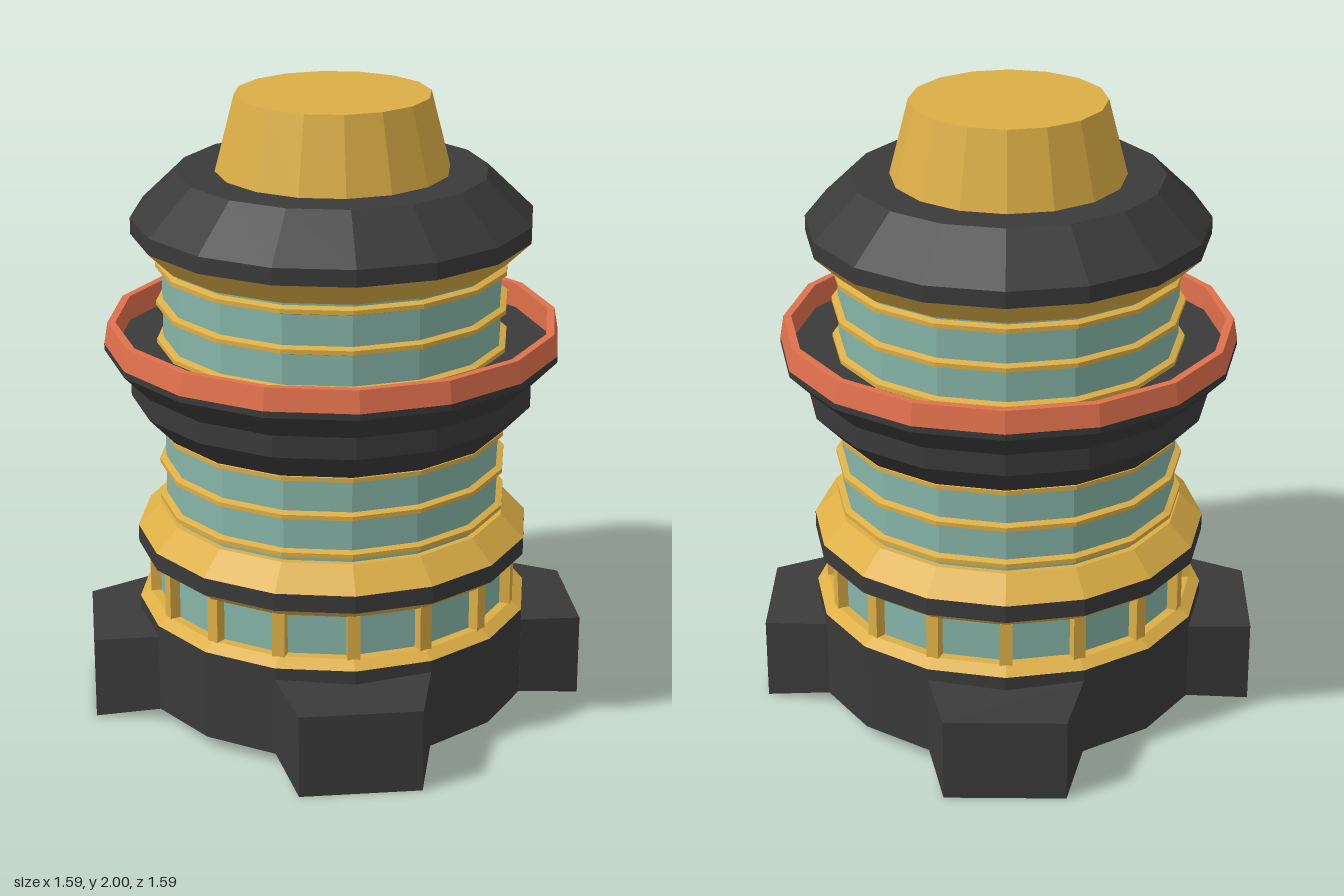
import * as THREE from 'three';

const SIDES = 16;
const material = (color) => new THREE.MeshStandardMaterial({ color, flatShading: true });

export function createModel() {
  const dark = material(0x3a3a3a);
  const gold = material(0xdcae45);
  const teal = material(0x86b5a7);
  const red = material(0xe0704c);
  const tower = new THREE.Group();
  tower.name = 'tower';

  function add(name, geometry, mat, parent = tower) {
    const mesh = new THREE.Mesh(geometry, mat);
    mesh.name = name;
    parent.add(mesh);
    return mesh;
  }

  // Faceted ring or drum from [radius, height] pairs, listed bottom to top
  function turned(name, profile, mat, parent) {
    const points = profile.map(([r, y]) => new THREE.Vector2(r, y));
    return add(name, new THREE.LatheGeometry(points, SIDES), mat, parent);
  }

  // Base drum
  turned('base', [[0, 0.04], [0.635, 0.04], [0.635, 0.335], [0.56, 0.335]], dark);

  // Four tapered feet
  const footGeometry = new THREE.BoxGeometry(1, 1, 1);
  const corners = footGeometry.attributes.position;
  for (let i = 0; i < corners.count; i++) {
    const side = Math.sign(corners.getX(i));
    const top = corners.getY(i) > 0;
    const outer = corners.getZ(i) > 0;
    corners.setXYZ(i,
      side * (outer ? 0.19 : 0.243),
      top ? (outer ? 0.27 : 0.297) : (outer ? 0 : 0.04),
      outer ? 0.793 : 0.587);
  }
  footGeometry.computeVertexNormals();
  for (let i = 0; i < 4; i++) {
    add('foot', footGeometry, dark).rotation.y = i * Math.PI / 2;
  }

  // Lower gallery: sill, windows, posts and soffit
  turned('gallerySill', [[0.635, 0.335], [0.6, 0.36], [0.56, 0.36]], gold);
  turned('galleryWindows', [[0.57, 0.35], [0.57, 0.505]], teal);
  turned('gallerySoffit', [[0.56, 0.5], [0.595, 0.5], [0.635, 0.53]], gold);
  const posts = new THREE.Group();
  posts.name = 'galleryPosts';
  tower.add(posts);
  const postGeometry = new THREE.BoxGeometry(0.04, 0.16, 0.04).translate(0, 0.425, 0.58);
  for (let i = 0; i < SIDES; i++) {
    add('post', postGeometry, gold, posts).rotation.y = i * 2 * Math.PI / SIDES;
  }

  // Band and sloping roof above the gallery
  turned('galleryBand', [[0.635, 0.53], [0.635, 0.587]], dark);
  turned('galleryRoof', [[0.635, 0.587], [0.56, 0.66], [0.53, 0.66]], gold);

  // Window shafts with evenly spaced trim rings
  turned('lowerWindows', [[0.54, 0.65], [0.54, 0.96]], teal);
  turned('upperWindows', [[0.54, 1.19], [0.54, 1.5]], teal);
  for (const y of [0.685, 0.81, 0.935, 1.215, 1.34, 1.465]) {
    turned('trimRing', [[0.535, y - 0.016], [0.56, y - 0.007], [0.56, y + 0.007], [0.535, y + 0.016]], gold);
  }

  // Flared balcony with its rail
  turned('balcony', [
    [0.535, 0.945], [0.56, 0.945], [0.645, 1.035], [0.645, 1.105],
    [0.727, 1.19], [0.727, 1.21], [0.69, 1.2], [0.535, 1.2],
  ], dark);
  turned('balconyRail', [[0.727, 1.21], [0.715, 1.28], [0.69, 1.28], [0.69, 1.195]], red);

  // Cap: soffit, roof and tapered top
  turned('capSoffit', [[0.535, 1.49], [0.555, 1.49], [0.635, 1.567]], gold);
  turned('capRoof', [[0.635, 1.567], [0.635, 1.62], [0.49, 1.76], [0, 1.76]], dark);
  turned('crown', [[0.37, 1.755], [0.307, 2], [0, 2]], gold);

  return tower;
}
